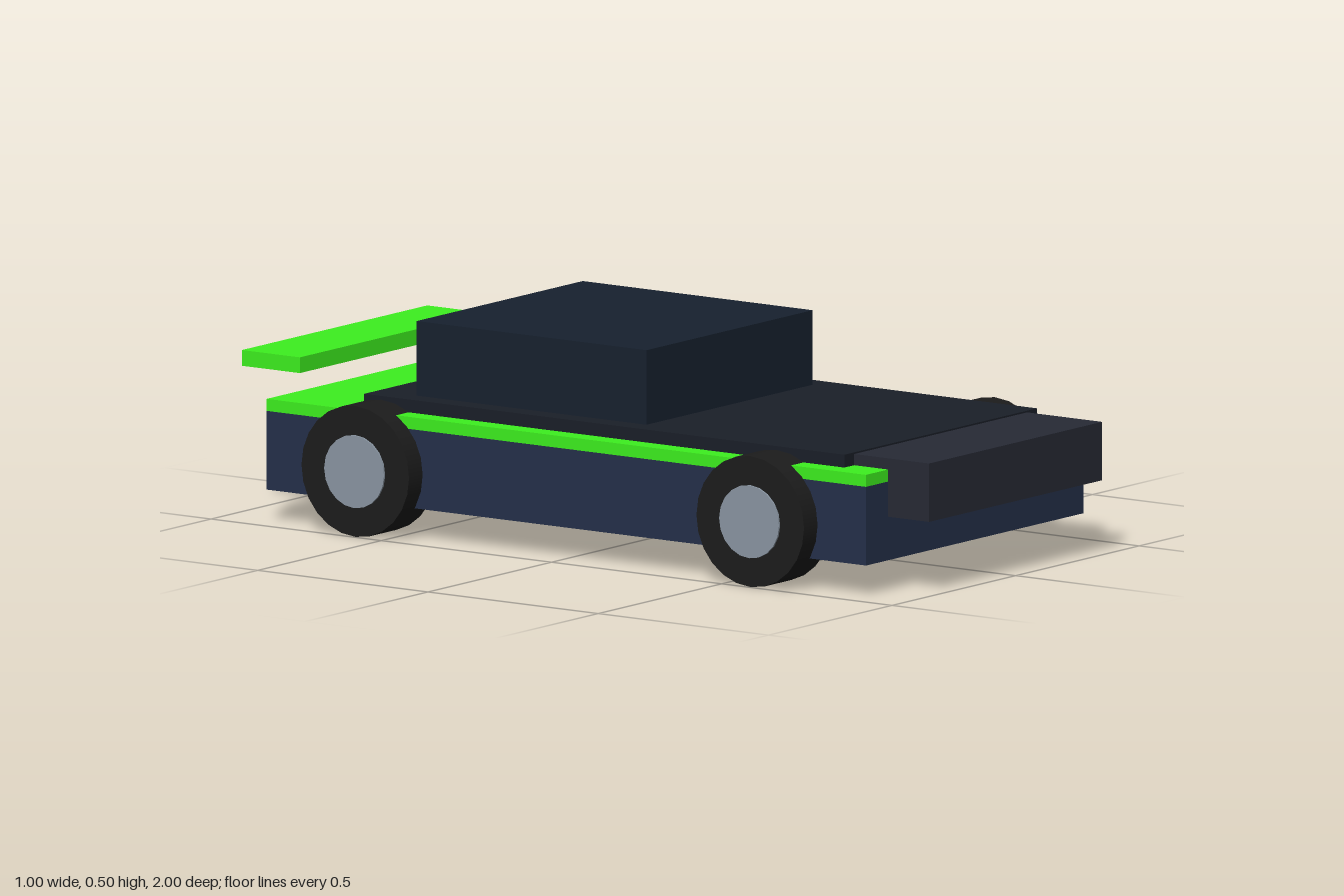
import * as THREE from 'three';

const paint = (color) => new THREE.MeshStandardMaterial({ color });

export function createModel() {
  const car = new THREE.Group();
  car.name = 'raceCar';

  const navy = paint(0x25304a);
  const green = paint(0x3df01f);
  const deckDark = paint(0x1a1f28);
  const glass = paint(0x17212f);
  const noseGrey = paint(0x272a35);
  const rubber = paint(0x1c1c1c);
  const metal = paint(0x8a96a3);

  // Box given by its extents; symmetric about x = 0
  const block = (name, halfWidth, [y0, y1], [z0, z1], material) => {
    const mesh = new THREE.Mesh(new THREE.BoxGeometry(halfWidth * 2, y1 - y0, z1 - z0), material);
    mesh.position.set(0, (y0 + y1) / 2, (z0 + z1) / 2);
    mesh.name = name;
    car.add(mesh);
  };

  block('body', 0.44, [0.075, 0.265], [-0.88, 0.88], navy);
  block('trimBand', 0.44, [0.265, 0.294], [-0.88, 0.88], green);
  block('deck', 0.39, [0.25, 0.325], [-0.63, 0.78], deckDark);
  block('nose', 0.35, [0.18, 0.321], [0.77, 1], noseGrey);
  block('cabin', 0.336, [0.32, 0.505], [-0.515, 0.16], glass);
  block('rearWing', 0.375, [0.352, 0.39], [-1, -0.83], green);

  // Wheels: tyre with a slightly proud hub, axle along x
  const tyreShape = new THREE.CylinderGeometry(0.158, 0.158, 0.11, 24).rotateZ(Math.PI / 2);
  const hubShape = new THREE.CylinderGeometry(0.088, 0.088, 0.12, 20).rotateZ(Math.PI / 2);
  for (const [end, z] of [['front', 0.58], ['rear', -0.58]]) {
    for (const [side, x] of [['Left', 0.44], ['Right', -0.44]]) {
      const wheel = new THREE.Group();
      wheel.name = `${end}${side}Wheel`;
      const tyre = new THREE.Mesh(tyreShape, rubber);
      tyre.name = 'tyre';
      const hub = new THREE.Mesh(hubShape, metal);
      hub.name = 'hub';
      wheel.add(tyre, hub);
      wheel.position.set(x, 0.158, z);
      car.add(wheel);
    }
  }
  return car;
}
